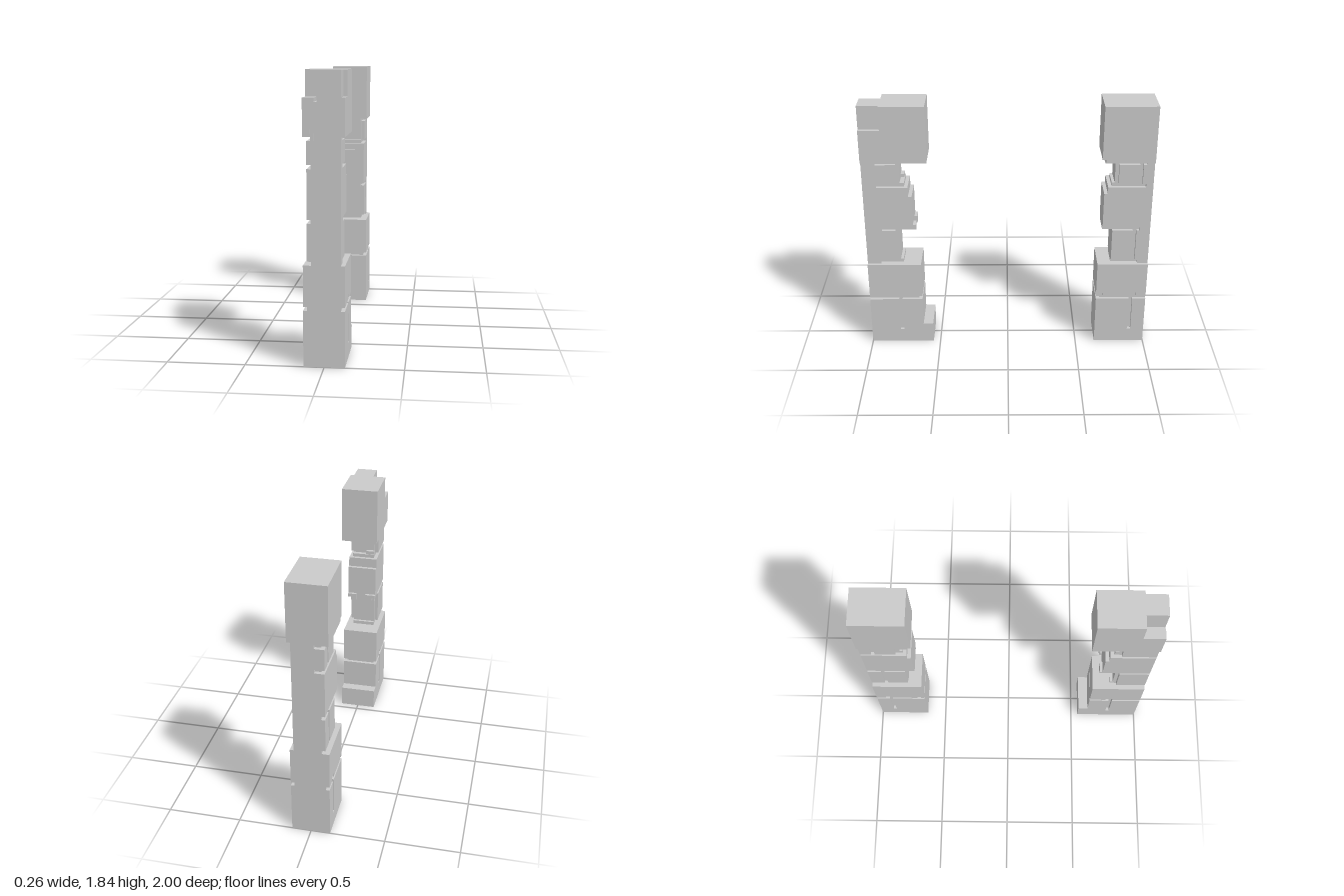
import * as THREE from 'three';
import { mergeGeometries } from 'three/addons/utils/BufferGeometryUtils.js';

const GROOVE = 0.025; // depth of the carved channels
const TOP = 0.13, MID = 0.105; // half widths of blocks and shaft

// Drop duplicate and collinear corners so adjoining cuts merge cleanly
function tidy(pts) {
  const out = pts.slice();
  for (let i = 0; i < out.length;) {
    const n = out.length, a = out[(i + n - 1) % n], b = out[i], c = out[(i + 1) % n];
    const cross = (b[0] - a[0]) * (c[1] - b[1]) - (b[1] - a[1]) * (c[0] - b[0]);
    if (Math.abs(cross) < 1e-7) { out.splice(i, 1); i = Math.max(0, i - 2); } else i++;
  }
  return out;
}

// One course: a plan outline with channels, raised from y0 to y1.
// inner = distance of the inward face from the centre; the outer face is at 1.
function course(sign, { y0, y1, inner, w, right = [], left = right, outerCuts = [], innerCuts = [] }) {
  const p = [[w, inner]];
  for (const [a, b] of right) p.push([w, a], [w - GROOVE, a], [w - GROOVE, b], [w, b]);
  p.push([w, 1]);
  for (const [a, b, d] of outerCuts) p.push([b, 1], [b, 1 - d], [a, 1 - d], [a, 1]);
  p.push([-w, 1]);
  for (const [a, b] of [...left].reverse()) p.push([-w, b], [GROOVE - w, b], [GROOVE - w, a], [-w, a]);
  p.push([-w, inner]);
  for (const [a, b, d] of innerCuts) p.push([a, inner], [a, inner + d], [b, inner + d], [b, inner]);
  const shape = new THREE.Shape(tidy(p).map(([x, d]) => new THREE.Vector2(x, -sign * d)));
  const g = new THREE.ExtrudeGeometry(shape, { depth: y1 - y0, bevelEnabled: false });
  return g.rotateX(-Math.PI / 2).translate(0, y0, 0);
}

function pillar(name, sign, parts) {
  const group = new THREE.Group();
  group.name = name;
  const material = new THREE.MeshStandardMaterial({ color: 0xcccccc, flatShading: true });
  for (const [part, courses] of Object.entries(parts)) {
    const mesh = new THREE.Mesh(mergeGeometries(courses.map((c) => course(sign, c))), material);
    mesh.name = part;
    group.add(mesh);
  }
  return group;
}

export function createModel() {
  const full = (inner) => [[inner, 1]];
  const hole = [[-0.06, -0.015, GROOVE]];
  const front = pillar('frontPillar', 1, {
    base: [
      { y0: 0, y1: 0.1, inner: 0.55, w: TOP },
      { y0: 0.1, y1: 0.15, inner: 0.55, w: TOP, right: [[0.765, 0.79]] },
      { y0: 0.15, y1: 0.36, inner: 0.62, w: TOP, right: [[0.765, 0.79]] },
      { y0: 0.36, y1: 0.385, inner: 0.645, w: TOP, right: full(0.645) },
      { y0: 0.385, y1: 0.41, inner: 0.62, w: TOP, right: [[0.74, 0.79]] },
      { y0: 0.41, y1: 0.645, inner: 0.62, w: TOP },
    ],
    shaft: [
      { y0: 0.645, y1: 0.67, inner: 0.745, w: MID, right: [[0.745, 0.905]], left: full(0.745) },
      { y0: 0.67, y1: 0.905, inner: 0.765, w: MID, right: [[0.765, 0.79]] },
      { y0: 0.905, y1: 0.93, inner: 0.645, w: MID, right: [[0.645, 0.885]], left: full(0.645), innerCuts: [[-0.03, 0.04, 0.02]] },
      { y0: 0.93, y1: 0.955, inner: 0.645, w: MID, innerCuts: [[-0.03, 0.04, 0.02]] },
      { y0: 0.955, y1: 1.17, inner: 0.665, w: MID },
      { y0: 1.17, y1: 1.24, inner: 0.69, w: MID },
      { y0: 1.24, y1: 1.265, inner: 0.715, w: MID, right: [[0.715, 0.905]], left: full(0.715) },
      { y0: 1.265, y1: 1.29, inner: 0.72, w: MID, right: [[0.72, 0.765]], innerCuts: [[-0.02, MID - GROOVE, 0.025]] },
      { y0: 1.29, y1: 1.41, inner: 0.745, w: MID, right: [[0.745, 0.765]] },
      { y0: 1.41, y1: 1.435, inner: 0.69, w: MID, right: [[0.69, 0.905]], left: full(0.69), outerCuts: hole },
    ],
    head: [
      { y0: 1.435, y1: 1.455, inner: 0.55, w: TOP, outerCuts: hole },
      { y0: 1.455, y1: 1.48, inner: 0.55, w: TOP, outerCuts: [[-0.085, -0.06, GROOVE]] },
      { y0: 1.48, y1: 1.645, inner: 0.55, w: TOP },
      { y0: 1.645, y1: 1.67, inner: 0.55, w: TOP, outerCuts: [[-0.06, -0.04, 0.145]] },
      { y0: 1.67, y1: 1.835, inner: 0.55, w: TOP, right: [[0.855, 1]], left: [], outerCuts: [[-TOP, -0.04, 0.145]] },
    ],
  });

  const nick = [[-0.08, -0.04, GROOVE]];
  const back = pillar('backPillar', -1, {
    base: [
      { y0: 0, y1: 0.1, inner: 0.64, w: TOP },
      { y0: 0.1, y1: 0.36, inner: 0.64, w: TOP, right: [[0.88, 0.905]] },
      { y0: 0.36, y1: 0.385, inner: 0.665, w: TOP, right: full(0.665) },
      { y0: 0.385, y1: 0.41, inner: 0.64, w: TOP, right: [[0.665, 0.69], [0.88, 0.93]] },
      { y0: 0.41, y1: 0.645, inner: 0.64, w: TOP },
    ],
    shaft: [
      { y0: 0.645, y1: 0.67, inner: 0.735, w: MID, right: [[0.735, 0.925]], left: full(0.735) },
      { y0: 0.67, y1: 0.905, inner: 0.735, w: MID, right: [[0.88, 0.905]] },
      { y0: 0.905, y1: 0.93, inner: 0.665, w: MID, right: [[0.665, 0.925]], left: full(0.665) },
      { y0: 0.93, y1: 1.19, inner: 0.665, w: MID },
      { y0: 1.19, y1: 1.24, inner: 0.69, w: MID },
      { y0: 1.24, y1: 1.265, inner: 0.715, w: MID, right: [[0.715, 0.95]], left: full(0.715), outerCuts: nick },
      { y0: 1.265, y1: 1.41, inner: 0.735, w: MID, right: [[0.735, 0.76], [0.9, 0.925]] },
      { y0: 1.41, y1: 1.435, inner: 0.665, w: MID, right: [[0.665, 0.95]], left: full(0.665), outerCuts: nick },
    ],
    head: [
      { y0: 1.435, y1: 1.455, inner: 0.665, w: TOP },
      { y0: 1.455, y1: 1.835, inner: 0.64, w: TOP },
    ],
  });

  const model = new THREE.Group();
  model.name = 'pillarPair';
  model.add(front, back);
  return model;
}
